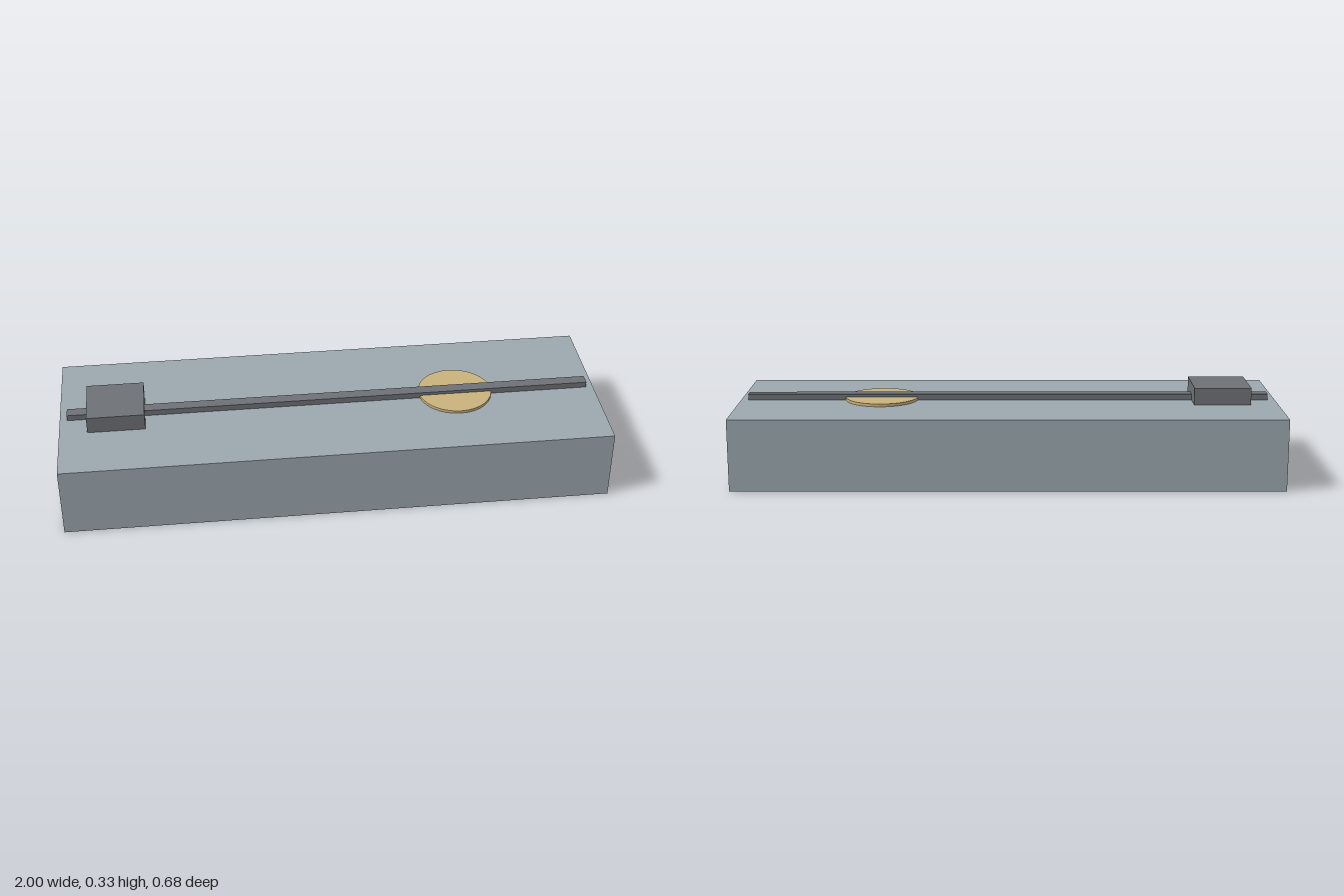
import * as THREE from 'three';

export function createModel() {
  const model = new THREE.Group();
  const material = (name, color, flatShading = false) => {
    const m = new THREE.MeshStandardMaterial({ color, flatShading });
    m.name = name;
    return m;
  };
  const paleGrey = material('paleBlueGrey', 0x9ca8af);
  const darkGrey = material('darkGrey', 0x6e7175);
  const brass = material('brass', 0xc9b27c, true);

  const TOP = 0.264; // height of the base slab

  const add = (name, geometry, mat, x, y) => {
    const mesh = new THREE.Mesh(geometry, mat);
    mesh.name = name;
    mesh.position.set(x, y, 0);
    model.add(mesh);
  };
  // Box between two x and two y limits, centred on z
  const addBox = (name, mat, x0, x1, y0, y1, depth) =>
    add(name, new THREE.BoxGeometry(x1 - x0, y1 - y0, depth), mat, (x0 + x1) / 2, (y0 + y1) / 2);

  // Base slab
  addBox('base', paleGrey, -1, 1, 0, TOP, 0.682);

  // Long rail and the block that sits over one end of it
  addBox('rail', darkGrey, -0.973, 0.973, TOP, 0.286, 0.042);
  addBox('slidingBlock', darkGrey, -0.898, -0.688, TOP, 0.327, 0.21);

  // Thin round plate under the rail
  add('disc', new THREE.CylinderGeometry(0.137, 0.137, 0.0105, 32), brass, 0.472, TOP + 0.00525);

  return model;
}
